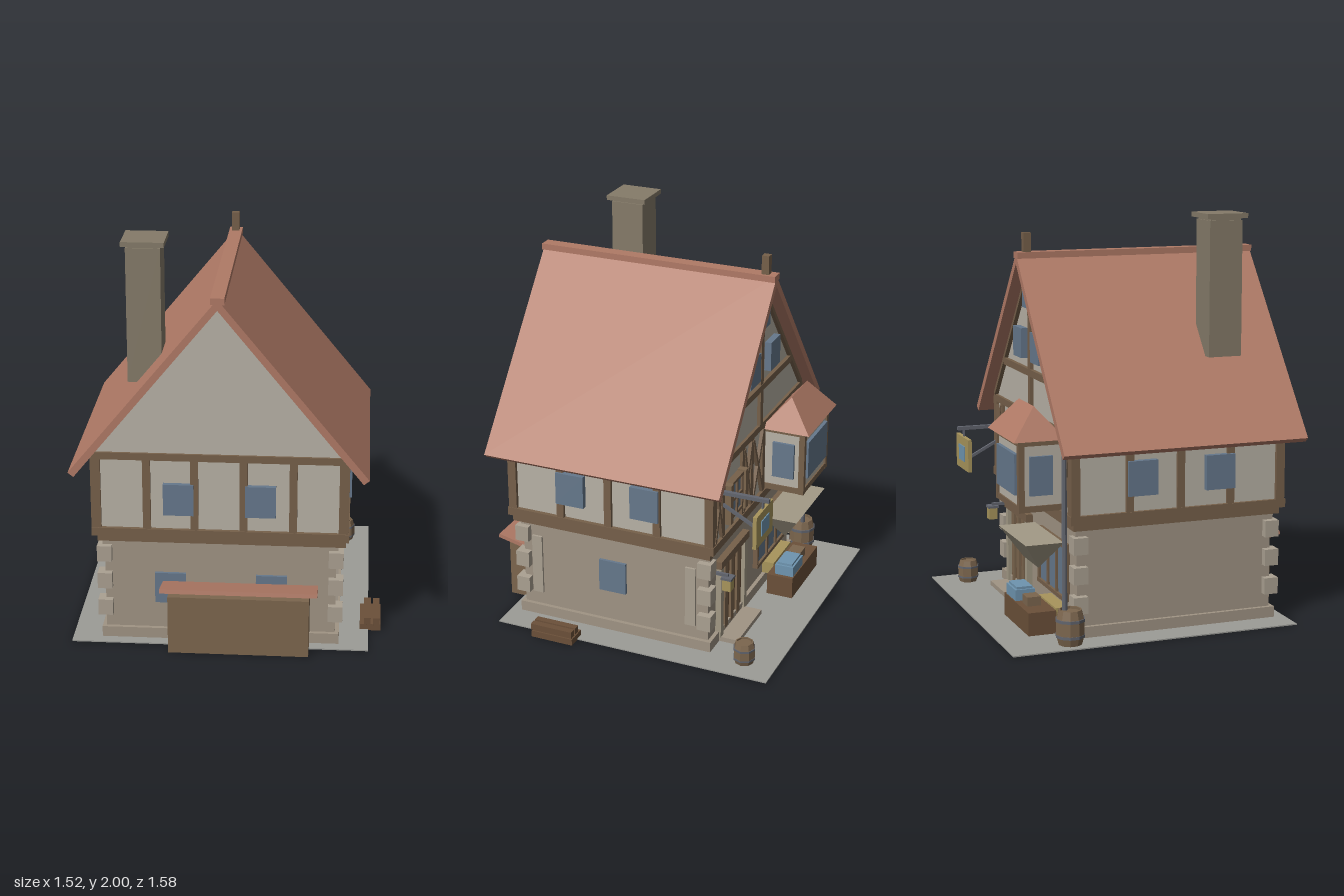
import * as THREE from 'three';
import { ConvexGeometry } from 'three/addons/geometries/ConvexGeometry.js';

const colors = {
  roof: 0xb07a66, plaster: 0xb8b2a6, stone: 0xa09484, quoin: 0xaba192, timber: 0x76604a,
  wood: 0x7c664e, glass: 0x66788c, ground: 0x9c9c97, chimney: 0x857b69, gold: 0xa8955c,
  iron: 0x62656e, cloth: 0xa39a86, crate: 0x6f95b0, darkWood: 0x6b5039,
};
const mats = {};
for (const k in colors) {
  mats[k] = new THREE.MeshStandardMaterial({ color: colors[k], flatShading: true });
}

const CX = -0.035;          // centre line of the house
const mirror = (x) => 2 * CX - x;

export function createModel() {
  const model = new THREE.Group();
  model.name = 'timberHouse';

  const add = (name, geo, mat, parent = model) => {
    const m = new THREE.Mesh(geo, mats[mat]);
    m.name = name;
    parent.add(m);
    return m;
  };
  // Box given by its limits on each axis
  const box = (name, mat, x0, x1, y0, y1, z0, z1) => {
    const m = add(name, new THREE.BoxGeometry(x1 - x0, y1 - y0, z1 - z0), mat);
    m.position.set((x0 + x1) / 2, (y0 + y1) / 2, (z0 + z1) / 2);
    return m;
  };
  // Square bar between two points
  const bar = (name, mat, a, b, w, d = w) => {
    const p = new THREE.Vector3(...a), q = new THREE.Vector3(...b);
    const m = add(name, new THREE.BoxGeometry(w, d, p.distanceTo(q)), mat);
    m.position.copy(p).add(q).multiplyScalar(0.5);
    m.lookAt(q);
    return m;
  };
  // Cross-section in x/y pushed along z
  const prism = (name, mat, pts, z0, z1) => {
    const shape = new THREE.Shape(pts.map(([x, y]) => new THREE.Vector2(x, y)));
    const geo = new THREE.ExtrudeGeometry(shape, { depth: z1 - z0, bevelEnabled: false });
    add(name, geo, mat).position.z = z0;
  };
  // Rectangle at one height joined to a ridge at another
  const hip = (name, mat, x0, x1, z0, z1, yRect, yRidge, inset) => {
    const zm = (z0 + z1) / 2;
    const pts = [[x0, yRect, z0], [x1, yRect, z0], [x1, yRect, z1], [x0, yRect, z1],
      [x0 + inset, yRidge, zm], [x1 - inset, yRidge, zm]];
    add(name, new ConvexGeometry(pts.map((p) => new THREE.Vector3(...p))), mat);
  };
  const barrel = (name, x, z, r, h, sides) => {
    const g = new THREE.Group();
    g.name = name;
    const prof = [[0, 0], [r * 0.8, 0], [r, h * 0.3], [r, h * 0.7], [r * 0.8, h], [r * 0.7, h], [r * 0.7, h * 0.93], [0, h * 0.93]];
    add('staves', new THREE.LatheGeometry(prof.map(([a, b]) => new THREE.Vector2(a, b)), sides), 'wood', g);
    for (const y of [0.28, 0.72]) {
      add('hoop', new THREE.CylinderGeometry(r * 1.03, r * 1.03, h * 0.08, sides), 'iron', g).position.y = h * y;
    }
    g.position.set(x, 0, z);
    model.add(g);
  };

  // Ground and stone storey
  box('groundSlab', 'ground', -0.765, 0.695, 0, 0.006, -0.79, 0.665);
  box('plinth', 'stone', -0.62, 0.55, 0, 0.06, -0.44, 0.61);
  box('stoneWall', 'stone', -0.6, 0.53, 0, 0.54, -0.42, 0.59);
  box('stoneCornice', 'stone', -0.61, 0.54, 0.505, 0.535, -0.43, 0.6);
  for (const y of [0.13, 0.275, 0.42]) {
    for (const x of [-0.6, 0.53]) for (const z of [-0.41, 0.585]) {
      box('cornerStone', 'quoin', x - 0.036, x + 0.036, y, y + 0.082, z - 0.036, z + 0.036);
    }
  }
  for (const z of [0.485, -0.355]) box('wallStrip', 'quoin', 0.525, 0.542, 0.13, 0.45, z, z + 0.055);

  // Upper storey with its timber frame
  box('lowerSill', 'timber', -0.63, 0.575, 0.535, 0.572, -0.445, 0.625);
  box('upperSill', 'timber', -0.655, 0.59, 0.57, 0.612, -0.468, 0.645);
  box('upperWall', 'plaster', -0.637, 0.568, 0.6, 1.0, -0.45, 0.625);
  box('wallPlate', 'timber', -0.655, 0.59, 0.97, 1.005, -0.465, 0.643);
  for (const x of [-0.631, 0.563]) for (const z of [-0.442, 0.617]) {
    box('cornerPost', 'timber', x - 0.024, x + 0.024, 0.6, 0.98, z - 0.022, z + 0.022);
  }
  for (const x of [-0.385, -0.155, 0.082, 0.32]) {
    box('frontStud', 'timber', x - 0.019, x + 0.019, 0.6, 0.98, 0.62, 0.64);
  }
  for (const z of [0.353, 0.094, -0.167]) {
    box('rightStud', 'timber', 0.56, 0.586, 0.6, 0.98, z - 0.019, z + 0.019);
    box('leftStud', 'timber', -0.652, -0.63, 0.6, 0.98, z - 0.019, z + 0.019);
  }
  for (const x of [0.45, 0.19, 0.07, -0.09, -0.53]) {
    box('backStud', 'timber', x - 0.017, x + 0.017, 0.6, 0.98, -0.464, -0.445);
  }
  for (const [a, b] of [[0.55, 0.46], [0.08, 0.18], [0.06, -0.08], [-0.62, -0.54]]) {
    bar('backBrace', 'timber', [a, 0.62, -0.455], [b, 0.96, -0.455], 0.025, 0.018);
    bar('backBrace', 'timber', [b, 0.62, -0.455], [a, 0.96, -0.455], 0.025, 0.018);
  }

  // Windows of every side
  for (const x of [-0.305, 0.09]) box('frontWindow', 'glass', x, x + 0.147, 0.69, 0.85, 0.61, 0.65);
  for (const x of [-0.355, 0.14]) box('frontShopWindow', 'glass', x, x + 0.152, 0.2, 0.36, 0.57, 0.605);
  for (const z of [0.22, -0.18]) {
    box('rightWindow', 'glass', 0.55, 0.597, 0.69, 0.86, z, z + 0.15);
    box('leftWindow', 'glass', -0.667, -0.62, 0.69, 0.86, z, z + 0.15);
  }
  box('rightLowerWindow', 'glass', 0.5, 0.545, 0.225, 0.395, 0.02, 0.165);
  box('backWindow', 'glass', 0.25, 0.39, 0.68, 0.87, -0.475, -0.44);
  for (const y of [0.68, 0.77, 0.86]) box('windowRail', 'timber', 0.245, 0.395, y, y + 0.015, -0.485, -0.45);
  for (const x of [0.245, 0.313, 0.382]) box('windowStile', 'timber', x, x + 0.014, 0.68, 0.87, -0.485, -0.45);
  for (const x of [0.205, 0.4]) box('shutter', 'wood', x, x + 0.035, 0.67, 0.88, -0.495, -0.45);

  // Gables and roof
  const slope = 1.22;
  prism('gableWall', 'plaster', [[-0.655, 1.0], [0.585, 1.0], [CX, 1.76]], -0.45, 0.63);
  const eave = 0.715;
  prism('roof', 'roof', [
    [CX - eave, 0.927], [CX - eave + 0.027, 0.905], [CX, 1.8 - 0.053],
    [CX + eave - 0.027, 0.905], [CX + eave, 0.927], [CX, 0.927 + eave * slope]], -0.53, 0.715);
  box('ridgeCap', 'roof', CX - 0.033, CX + 0.033, 1.775, 1.806, -0.532, 0.717);
  box('ridgePost', 'timber', CX - 0.019, CX + 0.019, 1.74, 1.9, -0.495, -0.458);
  box('kingPost', 'timber', CX - 0.018, CX + 0.018, 1.0, 1.72, -0.468, -0.445);
  box('collarBeam', 'timber', CX - 0.42, CX + 0.42, 1.19, 1.225, -0.47, -0.445);
  for (const x of [0.035, mirror(0.165)]) box('gableWindow', 'glass', x, x + 0.13, 1.27, 1.42, -0.485, -0.445);
  box('atticWindow', 'glass', CX - 0.048, CX + 0.048, 1.53, 1.64, -0.485, -0.445);
  for (const s of [-1, 1]) {
    bar('gableRafter', 'timber', [CX + s * 0.59, 1.01, -0.455], [CX + s * 0.02, 1.71, -0.455], 0.03, 0.02);
  }

  // Chimney
  box('chimneyStack', 'chimney', -0.485, -0.32, 1.305, 1.966, 0.305, 0.475);
  box('chimneyNeck', 'chimney', -0.478, -0.327, 1.966, 1.978, 0.312, 0.468);
  box('chimneyCap', 'chimney', -0.505, -0.3, 1.976, 2.0, 0.285, 0.495);

  // Bay window with hipped roof
  box('bayBody', 'plaster', -0.48, -0.13, 0.62, 0.96, -0.66, -0.44);
  box('bayGlass', 'glass', -0.45, -0.16, 0.69, 0.89, -0.678, -0.64);
  box('baySideGlass', 'glass', -0.495, -0.115, 0.69, 0.88, -0.615, -0.5);
  for (const y of [0.61, 0.93]) box('bayRail', 'timber', -0.487, -0.123, y, y + 0.03, -0.668, -0.44);
  for (const x of [-0.476, -0.134]) box('bayPost', 'timber', x - 0.014, x + 0.014, 0.61, 0.96, -0.67, -0.64);
  hip('bayRoof', 'roof', -0.52, -0.09, -0.7, -0.44, 0.957, 1.11, 0.1);

  // Shop window, canopy and goods
  box('shopGlass', 'glass', -0.49, -0.09, 0.17, 0.42, -0.435, -0.4);
  for (const x of [-0.5, -0.37, -0.24, -0.1]) box('shopStile', 'timber', x, x + 0.02, 0.16, 0.43, -0.445, -0.4);
  for (const y of [0.155, 0.42]) box('shopRail', 'timber', -0.5, -0.08, y, y + 0.02, -0.448, -0.4);
  hip('canopy', 'cloth', -0.53, -0.09, -0.65, -0.46, 0.46, 0.32, 0.1);
  box('displayTable', 'darkWood', -0.5, -0.11, 0, 0.12, -0.63, -0.49);
  box('blueCrate', 'crate', -0.28, -0.13, 0.12, 0.175, -0.625, -0.525);
  box('crateLid', 'crate', -0.27, -0.14, 0.175, 0.187, -0.615, -0.535);
  box('goldTray', 'gold', -0.48, -0.22, 0.06, 0.125, -0.485, -0.42);
  box('smallBox', 'wood', -0.39, -0.31, 0.12, 0.165, -0.6, -0.53);

  // Door and step
  box('door', 'darkWood', 0.1, 0.41, 0.03, 0.42, -0.43, -0.4);
  for (const x of [0.08, 0.4]) box('doorPost', 'cloth', x, x + 0.035, 0.03, 0.43, -0.45, -0.4);
  for (const x of [0.16, 0.24, 0.32]) box('doorPlank', 'wood', x, x + 0.04, 0.04, 0.41, -0.442, -0.4);
  box('doorLintel', 'timber', 0.07, 0.445, 0.42, 0.46, -0.455, -0.4);
  box('doorStep', 'stone', 0.1, 0.43, 0, 0.03, -0.54, -0.42);

  // Lantern, hanging sign and drainpipe
  box('lantern', 'gold', 0.47, 0.515, 0.35, 0.41, -0.53, -0.485);
  box('lanternCap', 'iron', 0.465, 0.52, 0.41, 0.422, -0.535, -0.48);
  box('lanternArm', 'iron', 0.485, 0.5, 0.42, 0.435, -0.51, -0.41);
  box('signPole', 'iron', 0.446, 0.468, 0.845, 0.863, -0.7, -0.45);
  bar('signBrace', 'iron', [0.457, 0.79, -0.46], [0.457, 0.69, -0.65], 0.014);
  box('signBoard', 'gold', 0.345, 0.565, 0.64, 0.81, -0.677, -0.657);
  box('signPanel', 'crate', 0.405, 0.505, 0.685, 0.765, -0.682, -0.652);
  for (const x of [0.447, 0.461]) box('signHanger', 'iron', x, x + 0.006, 0.8, 0.85, -0.67, -0.664);
  const pipe = add('drainpipe', new THREE.CylinderGeometry(0.013, 0.013, 0.95, 8), 'iron');
  pipe.position.set(-0.64, 0.475, -0.495);

  // Barrels and firewood
  barrel('largeBarrel', -0.675, -0.48, 0.07, 0.175, 10);
  barrel('smallBarrel', 0.56, -0.625, 0.055, 0.12, 8);
  for (const [x, y] of [[0.67, 0], [0.705, 0], [0.74, 0], [0.69, 0.036], [0.735, 0.036]]) {
    box('firewoodLog', 'darkWood', x - 0.017, x + 0.017, y, y + 0.034, y ? 0.225 : 0.22, y ? 0.45 : 0.445);
  }

  // Market counter on the front
  box('counter', 'wood', -0.28, 0.405, 0, 0.3, 0.59, 0.745);
  bar('counterTop', 'roof', [0.065, 0.31, 0.61], [0.065, 0.35, 0.785], 0.76, 0.02);
  return model;
}
